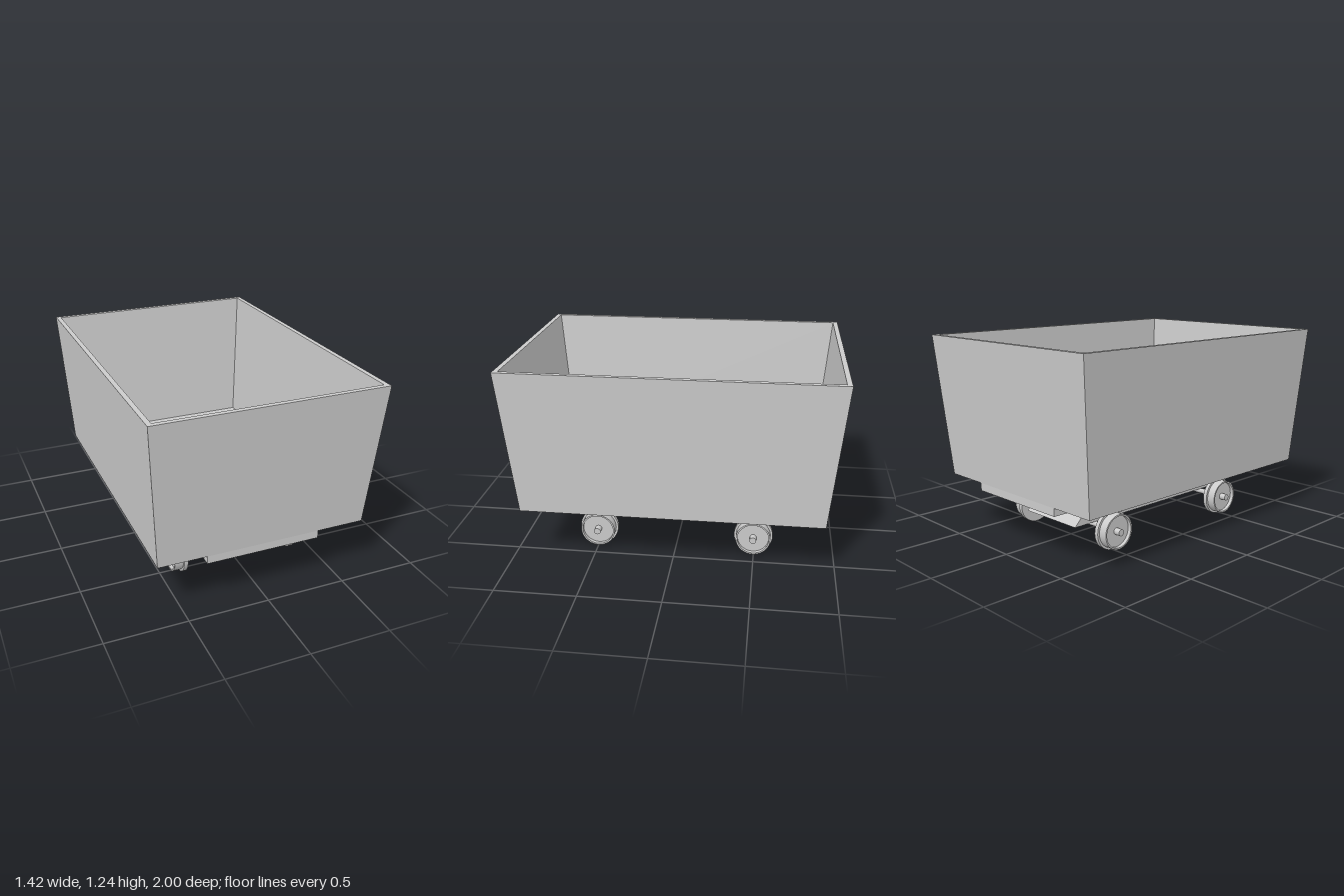
import * as THREE from 'three';
import { toCreasedNormals } from 'three/addons/utils/BufferGeometryUtils.js';

const material = new THREE.MeshStandardMaterial({ color: 0xcccccc });

function addMesh(parent, name, geometry) {
  const mesh = new THREE.Mesh(geometry, material);
  mesh.name = name;
  parent.add(mesh);
  return mesh;
}

// Joins rectangular loops [halfX, y, halfZ] into a flat-faced skin, optionally capping both ends
function rectangleLoft(loops, capped) {
  const pos = [];
  const signs = [[1, 1], [1, -1], [-1, -1], [-1, 1]];
  const rings = loops.map(([x, y, z]) => signs.map(([sx, sz]) => [sx * x, y, sz * z]));
  const quad = (a, b, c, d) => [a, b, c, a, c, d].forEach((p) => pos.push(...p));
  for (let i = 0; i < rings.length - 1; i++) {
    for (let j = 0; j < 4; j++) {
      const k = (j + 1) % 4;
      quad(rings[i][j], rings[i][k], rings[i + 1][k], rings[i + 1][j]);
    }
  }
  if (capped) {
    quad(...[...rings[0]].reverse());
    quad(...rings[rings.length - 1]);
  }
  const geometry = new THREE.BufferGeometry();
  geometry.setAttribute('position', new THREE.Float32BufferAttribute(pos, 3));
  geometry.computeVertexNormals();
  return geometry;
}

export function createModel() {
  const cart = new THREE.Group();
  cart.name = 'mineCart';

  // Open tub with sloping walls, a flat rim and a floor
  addMesh(cart, 'tub', rectangleLoft([
    [0.652, 0.35, 0.922], [0.708, 1.245, 1],
    [0.678, 1.245, 0.97], [0.622, 0.38, 0.892],
  ], true));

  // Shallow hollow frame under the tub
  addMesh(cart, 'underFrame', rectangleLoft([
    [0.33, 0.35, 0.895], [0.33, 0.3, 0.895],
    [0.355, 0.3, 0.92], [0.355, 0.35, 0.92],
  ], false));

  // Central chassis block, its side profile extruded across the cart
  const half = [[0.662, 0.14], [0.535, 0.27], [0.455, 0.3], [0.455, 0.35]];
  const profile = [...half, ...half.map(([z, y]) => [-z, y]).reverse()];
  const shape = new THREE.Shape(profile.map(([z, y]) => new THREE.Vector2(z, y)));
  const chassis = new THREE.ExtrudeGeometry(shape, { depth: 0.46, bevelEnabled: false });
  chassis.translate(0, 0, -0.23).rotateY(Math.PI / 2);
  addMesh(cart, 'chassisBlock', toCreasedNormals(chassis, 0.5));

  // Flanged wheel with a dished outer face, turned to point along +x
  const wheelProfile = [
    [0, 0.353], [0.122, 0.353], [0.122, 0.379], [0.108, 0.379],
    [0.108, 0.434], [0.098, 0.434], [0.098, 0.41], [0, 0.41],
  ].map(([r, x]) => new THREE.Vector2(r, x));
  const wheel = toCreasedNormals(new THREE.LatheGeometry(wheelProfile, 40), 0.5);
  wheel.rotateZ(-Math.PI / 2);
  const axle = new THREE.CylinderGeometry(0.017, 0.017, 0.74, 24).rotateZ(Math.PI / 2);
  const stub = new THREE.CylinderGeometry(0.021, 0.021, 0.055, 24)
    .rotateZ(Math.PI / 2).translate(0.426, 0, 0);

  // Two wheelsets, each an axle with a mirrored pair of wheels
  for (const [label, z] of [['front', 0.495], ['rear', -0.495]]) {
    const wheelset = new THREE.Group();
    wheelset.name = label + 'Wheelset';
    wheelset.position.set(0, 0.124, z);
    addMesh(wheelset, label + 'Axle', axle);
    for (const [side, turn] of [['Left', 0], ['Right', Math.PI]]) {
      addMesh(wheelset, label + side + 'Wheel', wheel).rotation.y = turn;
      addMesh(wheelset, label + side + 'AxleEnd', stub).rotation.y = turn;
    }
    cart.add(wheelset);
  }
  return cart;
}
